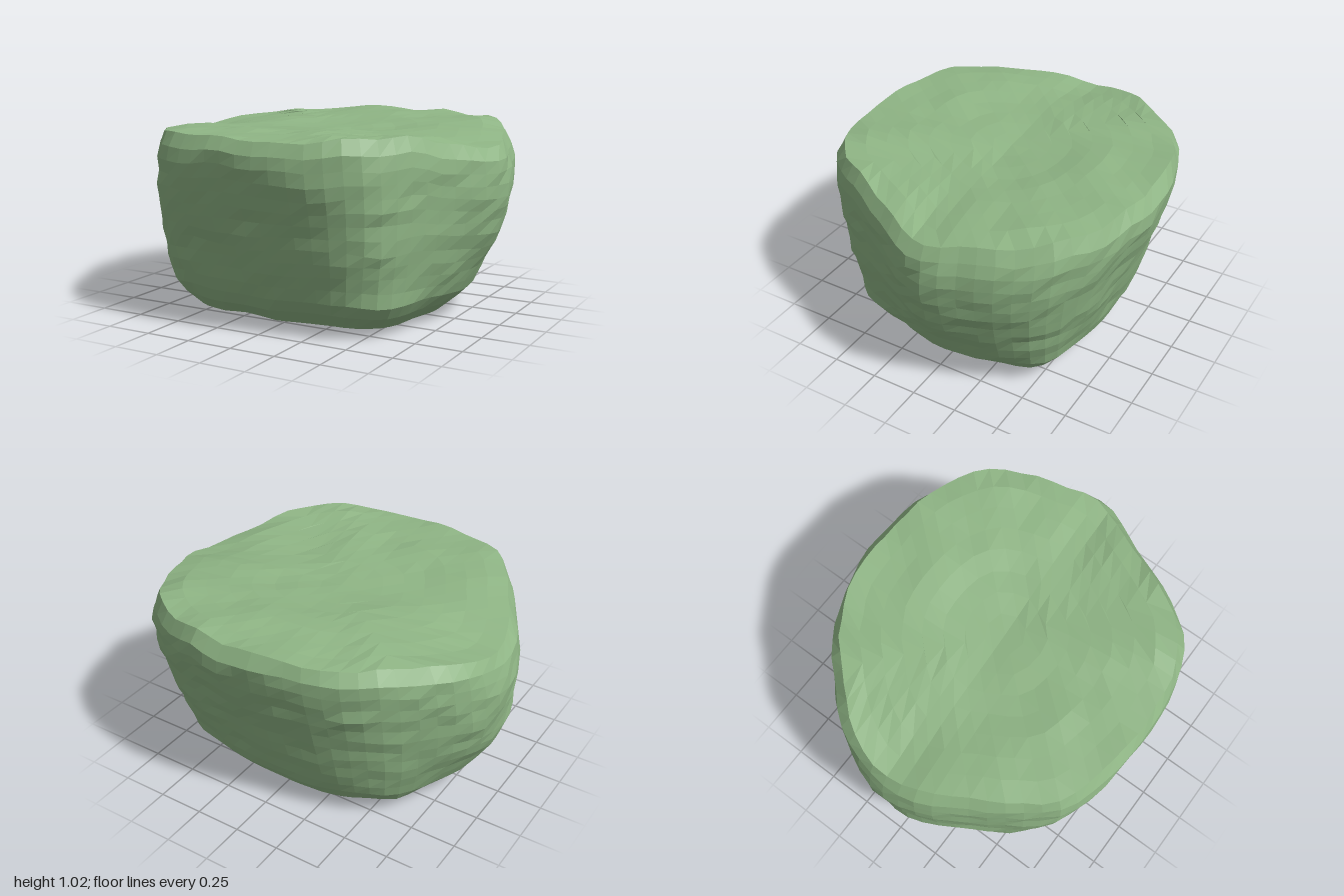
import * as THREE from 'three';

const closedCurve = (points) =>
  new THREE.CatmullRomCurve3(points.map(([x, z]) => new THREE.Vector3(x, 0, z)), true);

// Plans of the rock as [x, z], running from +x through -z: widest level, and just above the ground
const WIDE = closedCurve([
  [1, -0.08], [0.95, -0.3], [0.88, -0.5], [0.73, -0.7], [0.5, -0.83], [0.15, -0.9], [-0.2, -0.87],
  [-0.5, -0.75], [-0.73, -0.56], [-0.92, -0.33], [-1, -0.08], [-0.97, 0.14], [-0.85, 0.38], [-0.71, 0.62],
  [-0.57, 0.79], [-0.3, 0.88], [0, 0.9], [0.3, 0.88], [0.5, 0.8], [0.63, 0.69], [0.73, 0.52], [0.86, 0.24], [0.96, 0.07],
]);
const BASE = closedCurve([
  [0.75, -0.05], [0.7, -0.3], [0.61, -0.52], [0.35, -0.6], [0, -0.62], [-0.4, -0.58], [-0.61, -0.48], [-0.74, -0.25],
  [-0.8, 0], [-0.75, 0.3], [-0.66, 0.54], [-0.52, 0.64], [-0.2, 0.67], [0.2, 0.67], [0.5, 0.64], [0.64, 0.53], [0.71, 0.25],
]);

// Smooth value noise, -1 to 1
function hash(x, y, z) {
  const s = Math.sin(x * 127.1 + y * 311.7 + z * 74.7) * 43758.5453;
  return 2 * (s - Math.floor(s)) - 1;
}
function noise(x, y, z) {
  const [i, j, k] = [x, y, z].map(Math.floor);
  const { lerp } = THREE.MathUtils;
  const alongX = (b, c) => lerp(hash(i, b, c), hash(i + 1, b, c), x - i);
  const alongY = (c) => lerp(alongX(j, c), alongX(j + 1, c), y - j);
  return lerp(alongY(k), alongY(k + 1), z - k);
}

// Fraction of the way round a square ring, starting in the middle of +x
function ringFraction(u, v, s) {
  if (s === 0) return 0;
  if (u === s) return (1 - v / (8 * s)) % 1;
  if (v === -s) return 1 / 4 - u / (8 * s);
  if (u === -s) return 1 / 2 + v / (8 * s);
  return 3 / 4 + u / (8 * s);
}

// Top dips along the middle and falls at the sides; the underside tilts slightly
const topHeight = (x, z) => 0.965 + 0.04 * Math.min(1, Math.abs(z) / 0.4)
  - 0.045 * THREE.MathUtils.smoothstep(Math.abs(x), x > 0 ? 0.65 : 0.5, 0.95) + 0.02 * noise(x * 6, 3, z * 6);
const bottomHeight = (x, z) => 0.024 + 0.025 * z + 0.016 * noise(x * 6, 8, z * 6);

// Place a point of the box (u, v in -1..1, h in 0..1) on the rock
function rockPoint(u, h, v) {
  const s = Math.max(Math.abs(u), Math.abs(v));
  const t = ringFraction(u, v, s);
  const wide = WIDE.getPointAt(t), base = BASE.getPointAt(t);

  // Sides bulge quickly in x, most on the right, and lean out almost straight in z
  const y = 0.02 + 0.95 * h;
  const reach = THREE.MathUtils.lerp(0.5, 0.7, (wide.x + 1) / 2);
  const bulge = Math.sin(Math.PI / 2 * THREE.MathUtils.clamp((y - 0.1) / reach, 0, 1));
  const q = THREE.MathUtils.clamp((y - 0.08) / 0.82, 0, 1);
  const lean = q * (1.2 - 0.2 * q);
  let x = THREE.MathUtils.lerp(base.x, wide.x, bulge);
  let z = THREE.MathUtils.lerp(base.z, wide.z, lean);

  // Rounded rim and foot, and chipped horizontal layers
  const rim = Math.max(0, (h - 0.84) / 0.16) ** 2;
  const foot = Math.max(0, 1 - h / 0.15) ** 2;
  const chip = 0.016 * noise(x * 4, y * 15, z * 4) + 0.012 * noise(x * 11, y * 30, z * 11);
  const k = s * (0.998 + chip - 0.06 * rim - 0.15 * foot);
  x *= k;
  z *= k;
  const shift = 0.02 * noise(x * 5, y * 12 + 50, z * 5) * Math.sin(Math.PI * h);
  return [x, THREE.MathUtils.lerp(bottomHeight(x, z), topHeight(x, z), h) + shift, z];
}

function rockGeometry() {
  const box = new THREE.BoxGeometry(2, 2, 2, 16, 14, 16);
  const pos = box.attributes.position;
  for (let i = 0; i < pos.count; i++) {
    // Snap to the lattice so shared edges agree exactly
    const u = Math.round(pos.getX(i) * 8) / 8;
    const h = Math.round((pos.getY(i) + 1) * 7) / 14;
    const v = Math.round(pos.getZ(i) * 8) / 8;
    pos.setXYZ(i, ...rockPoint(u, h, v));
  }
  const flat = box.toNonIndexed();
  flat.computeVertexNormals();
  return flat;
}

export function createModel() {
  const group = new THREE.Group();
  group.name = 'rock';
  const material = new THREE.MeshStandardMaterial({ color: 0x8fb585, flatShading: true });
  const boulder = new THREE.Mesh(rockGeometry(), material);
  boulder.name = 'boulder';
  group.add(boulder);
  return group;
}
